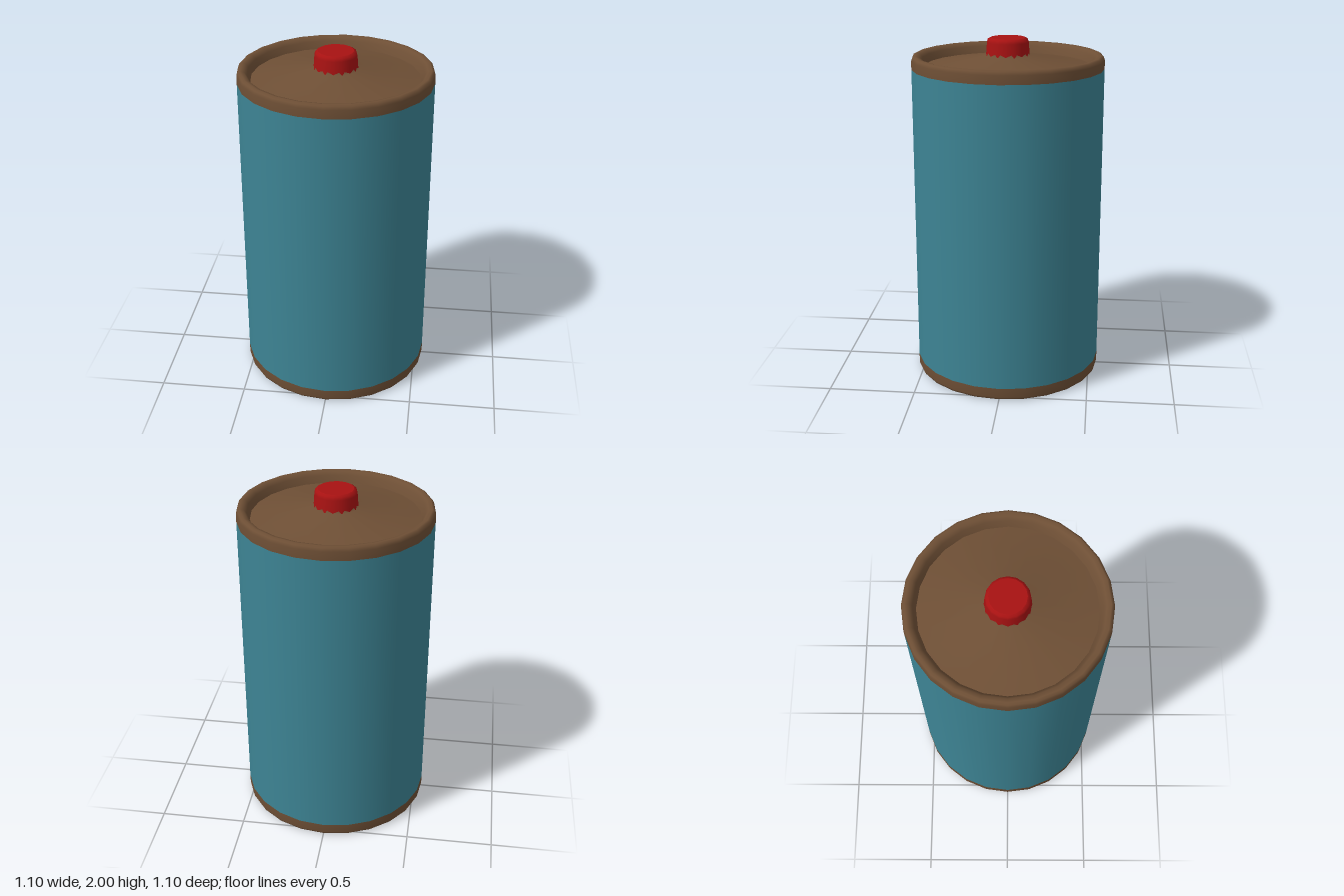
import * as THREE from 'three';

const paint = (color) => new THREE.MeshStandardMaterial({ color });

export function createModel() {
  const model = new THREE.Group();
  const teal = paint(0x3d8494), brown = paint(0x6e4f35), red = paint(0xa81212);

  // Each profile of [radius, y] points is smooth; edges between profiles stay sharp.
  function turned(name, material, sides, ...profiles) {
    const part = new THREE.Group();
    part.name = name;
    profiles.forEach((points, i) => {
      const outline = points.map(([r, y]) => new THREE.Vector2(r, y));
      const mesh = new THREE.Mesh(new THREE.LatheGeometry(outline, sides), material);
      mesh.name = `${name}Surface${i + 1}`;
      part.add(mesh);
    });
    model.add(part);
  }

  // Straight wrapped body
  turned('casing', teal, 24, [[0.55, 0.075], [0.55, 1.83]]);

  // Upper rim, rounded over, and the cone rising to the terminal
  turned('topCap', brown, 24,
    [[0.55, 1.83], [0.55, 1.88], [0.543, 1.898], [0.53, 1.905], [0.508, 1.9], [0.492, 1.88], [0.476, 1.84]],
    [[0.476, 1.84], [0.125, 1.9], [0.118, 1.93]]);

  // Lower rim and its recessed plate
  turned('bottomCap', brown, 24,
    [[0, 0.03], [0.476, 0.03]],
    [[0.476, 0.03], [0.492, 0.008], [0.508, 0.001], [0.53, 0], [0.543, 0.006], [0.55, 0.02], [0.55, 0.075]]);

  // Raised button terminal
  turned('positiveTerminal', red, 16,
    [[0.125, 1.895], [0.119, 1.975], [0.114, 1.992], [0.1, 2]],
    [[0.1, 2], [0, 2]]);

  // Flat bar marking the underside
  const mark = new THREE.Mesh(new THREE.BoxGeometry(0.32, 0.006, 0.17), red);
  mark.name = 'negativeMark';
  mark.position.y = 0.029;
  model.add(mark);

  return model;
}
